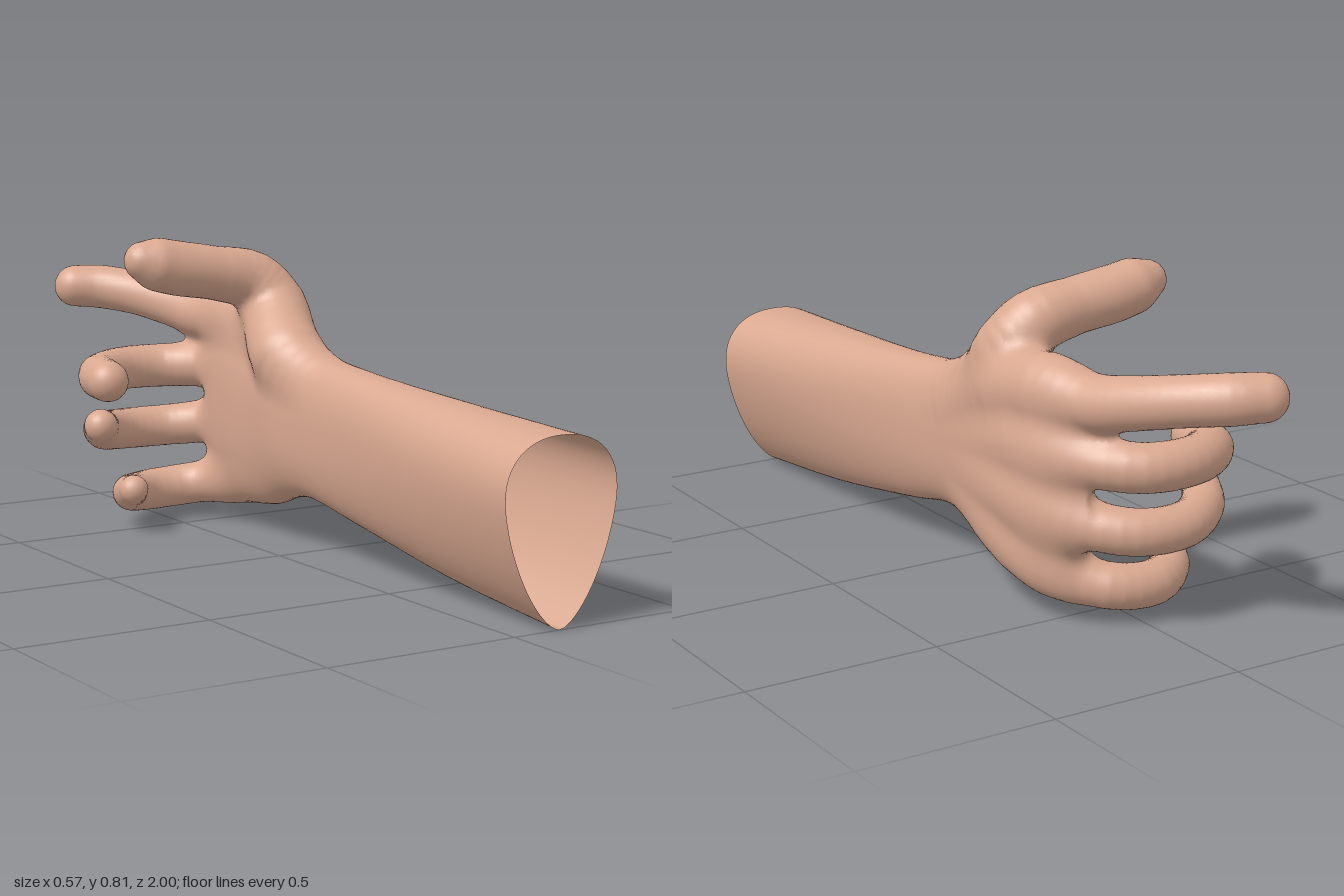
import * as THREE from 'three';

const V = (x, y, z) => new THREE.Vector3(x, y, z);

// Each digit is a bone chain from the wrist to the tip: x, y, z, radius
const DIGITS = {
  thumb: [[.11, .42, .02, .06], [.098, .502, -.13, .092], [.138, .612, -.255, .089], [.095, .68, -.29, .08],
    [-.02, .709, -.297, .071], [-.12, .725, -.305, .072], [-.18, .738, -.308, .07], [-.225, .75, -.31, .05]],
  indexFinger: [[.14, .42, -.05, .04], [.165, .53, -.3, .074], [.16, .566, -.45, .08], [.128, .56, -.6, .069],
    [.092, .58, -.71, .064], [.035, .603, -.82, .061], [-.035, .617, -.905, .061], [-.1, .62, -.94, .058]],
  middleFinger: [[.14, .37, -.1, .035], [.176, .425, -.4, .066], [.15, .42, -.57, .062], [.05, .412, -.69, .06],
    [-.08, .411, -.702, .059], [-.185, .407, -.63, .06], [-.215, .406, -.53, .056]],
  ringFinger: [[.14, .3, -.1, .035], [.178, .29, -.38, .064], [.15, .265, -.56, .06], [.05, .247, -.665, .057],
    [-.08, .246, -.677, .056], [-.185, .26, -.61, .054], [-.24, .288, -.525, .045]],
  littleFinger: [[.14, .22, -.1, .035], [.166, .16, -.34, .062], [.15, .122, -.46, .06], [.07, .092, -.58, .057],
    [-.05, .083, -.6, .056], [-.145, .095, -.535, .05], [-.182, .12, -.45, .039]],
};

// Forearm and palm sections: z, xMin, xMax, yBottom, yTop, yWidest, lower and upper squareness
const SECTIONS = [
  [1, -.03, .288, 0, .45, .31, 1.55, 2.3], [.6, -.002, .255, .04, .47, .32, 1.7, 2.3],
  [.2, .028, .22, .105, .495, .33, 2.1, 2.4], [0, .026, .21, .14, .52, .33, 2.4, 2.4],
  [-.1, .026, .22, .125, .54, .33, 2.3, 2.3], [-.25, .05, .238, .08, .56, .32, 2.2, 2.3],
  [-.4, .06, .243, .08, .58, .33, 2.3, 2.4], [-.49, .075, .235, .095, .57, .33, 2.4, 2.4],
  [-.55, .1, .21, .14, .53, .33, 2.3, 2.3], [-.59, .14, .18, .24, .43, .33, 2, 2],
];
const sections = new THREE.CubicInterpolant(SECTIONS.map(s => -s[0]), SECTIONS.flatMap(s => s.slice(1)), 7, new Float32Array(7));

// Sample each chain smoothly into short tapered segments
const chains = Object.entries(DIGITS).map(([name, pts]) => {
  const curve = new THREE.CatmullRomCurve3(pts.map(p => V(p[0], p[1], p[2])));
  const n = (pts.length - 1) * 4, last = pts.length - 1, nodes = [];
  for (let i = 0; i <= n; i++) {
    const t = i / n * last, k = Math.min(Math.floor(t), last - 1);
    const p = curve.getPoint(i / n);
    nodes.push([p.x, p.y, p.z, THREE.MathUtils.lerp(pts[k][3], pts[k + 1][3], t - k)]);
  }
  return { name, nodes };
});

function chainField(nodes, x, y, z) {
  let best = 1e9;
  for (let i = 1; i < nodes.length; i++) {
    const a = nodes[i - 1], b = nodes[i];
    const dx = b[0] - a[0], dy = b[1] - a[1], dz = b[2] - a[2];
    const px = x - a[0], py = y - a[1], pz = z - a[2];
    const t = Math.min(1, Math.max(0, (px * dx + py * dy + pz * dz) / (dx * dx + dy * dy + dz * dz)));
    const ex = px - dx * t, ey = py - dy * t, ez = pz - dz * t;
    const d = Math.sqrt(ex * ex + ey * ey + ez * ez) - a[3] - (b[3] - a[3]) * t;
    if (d < best) best = d;
  }
  return best;
}

function armField(x, y, z) {
  const [x0, x1, y0, y1, ym, low, high] = sections.evaluate(THREE.MathUtils.clamp(-z, -1, .59));
  const half = (x1 - x0) / 2, p = y < ym ? low : high;
  const u = Math.abs(x - (x0 + x1) / 2) / half;
  const v = y < ym ? (ym - y) / (ym - y0) : (y - ym) / (y1 - ym);
  return ((u ** p + v ** p) ** (1 / p) - 1) * half + Math.max(0, -.59 - z);
}

// Smooth union: digits flow softly into the palm, while the curled tips stay apart
const smoothMin = (a, b, k) => {
  const h = Math.max(k - Math.abs(a - b), 0) / k;
  return Math.min(a, b) - h * h * k / 4;
};
function field(x, y, z) {
  const k = .008 + .044 * THREE.MathUtils.smoothstep(x, -.1, .1);
  let d = armField(x, y, z);
  for (const c of chains) d = smoothMin(d, chainField(c.nodes, x, y, z), k);
  return d;
}
function gradient(p) {
  const e = .004;
  return V(field(p.x + e, p.y, p.z) - field(p.x - e, p.y, p.z), field(p.x, p.y + e, p.z) - field(p.x, p.y - e, p.z),
    field(p.x, p.y, p.z + e) - field(p.x, p.y, p.z - e)).divideScalar(2 * e);
}

// Name of the part that owns a surface point
function partAt(x, y, z) {
  let best = armField(x, y, z), name = z > 0 ? 'forearm' : 'palm';
  for (const c of chains) {
    const d = chainField(c.nodes, x, y, z);
    if (d < best) { best = d; name = c.name; }
  }
  return name;
}

// Wrap one smooth skin around the field; the grid stops at z = 1, leaving the arm open
function buildSkin() {
  const h = .0135, size = [51, 67, 153], origin = [-.34, -.06, 1 + h / 2 - (size[2] - 1) * h];
  const stride = [1, size[0], size[0] * size[1]];
  const at = (i, j, k) => i + j * stride[1] + k * stride[2];
  const values = new Float32Array(size[0] * size[1] * size[2]);
  const cells = new Int32Array(values.length).fill(-1);
  const each = (trim, fn) => {
    for (let k = 0; k < size[2] - trim; k++) for (let j = 0; j < size[1] - trim; j++)
      for (let i = 0; i < size[0] - trim; i++) fn(i, j, k, at(i, j, k));
  };
  each(0, (i, j, k, n) => { values[n] = field(origin[0] + i * h, origin[1] + j * h, origin[2] + k * h); });

  // One vertex in each cell the surface crosses
  const position = [], normal = [];
  each(1, (i, j, k, n) => {
    const sum = V(0, 0, 0);
    let count = 0;
    for (let c = 0; c < 8; c++) for (let axis = 0; axis < 3; axis++) {
      if (c >> axis & 1) continue;
      const o = [c & 1, c >> 1 & 1, c >> 2 & 1];
      const m = n + at(...o), a = values[m], b = values[m + stride[axis]];
      if (a < 0 === b < 0) continue;
      o[axis] += a / (a - b);
      sum.add(V(...o));
      count++;
    }
    if (!count) return;
    const p = sum.divideScalar(count).add(V(i, j, k)).multiplyScalar(h).add(V(...origin));
    for (let s = 0; s < 2; s++) {
      const g = gradient(p);
      const step = THREE.MathUtils.clamp(field(p.x, p.y, p.z) / Math.max(g.lengthSq(), .1), -h / 2, h / 2);
      p.addScaledVector(g, -step);
    }
    if (k === size[2] - 2) p.z = 1;
    cells[n] = position.length / 3;
    position.push(p.x, p.y, p.z);
    normal.push(...gradient(p).normalize().toArray());
  });

  // One quad around each crossed grid edge, sorted by part
  const parts = {};
  each(1, (i, j, k, n) => {
    for (let axis = 0; axis < 3; axis++) {
      const inside = values[n] < 0;
      if (inside === values[n + stride[axis]] < 0) continue;
      const u = stride[(axis + 1) % 3], v = stride[(axis + 2) % 3];
      if ([i, j, k].some((q, w) => w !== axis && q === 0)) continue;
      const q = [cells[n - u - v], cells[n - v], cells[n], cells[n - u]];
      if (q.some(c => c < 0)) continue;
      if (!inside) q.reverse();
      const name = partAt(...position.slice(q[0] * 3, q[0] * 3 + 3));
      (parts[name] ??= []).push(q[0], q[1], q[2], q[0], q[2], q[3]);
    }
  });
  return { position, normal, parts };
}

export function createModel() {
  const group = new THREE.Group();
  group.name = 'hand';
  const skin = new THREE.MeshStandardMaterial({ color: 0xd9a890, side: THREE.DoubleSide });
  skin.name = 'skin';
  const { position, normal, parts } = buildSkin();
  // Each part keeps only its own vertices
  for (const [name, faces] of Object.entries(parts)) {
    const map = new Map(), pos = [], nor = [];
    const index = faces.map(f => {
      if (!map.has(f)) {
        map.set(f, map.size);
        pos.push(...position.slice(f * 3, f * 3 + 3));
        nor.push(...normal.slice(f * 3, f * 3 + 3));
      }
      return map.get(f);
    });
    const geometry = new THREE.BufferGeometry();
    geometry.setAttribute('position', new THREE.Float32BufferAttribute(pos, 3));
    geometry.setAttribute('normal', new THREE.Float32BufferAttribute(nor, 3));
    geometry.setIndex(index);
    const mesh = new THREE.Mesh(geometry, skin);
    mesh.name = name;
    group.add(mesh);
  }
  return group;
}
